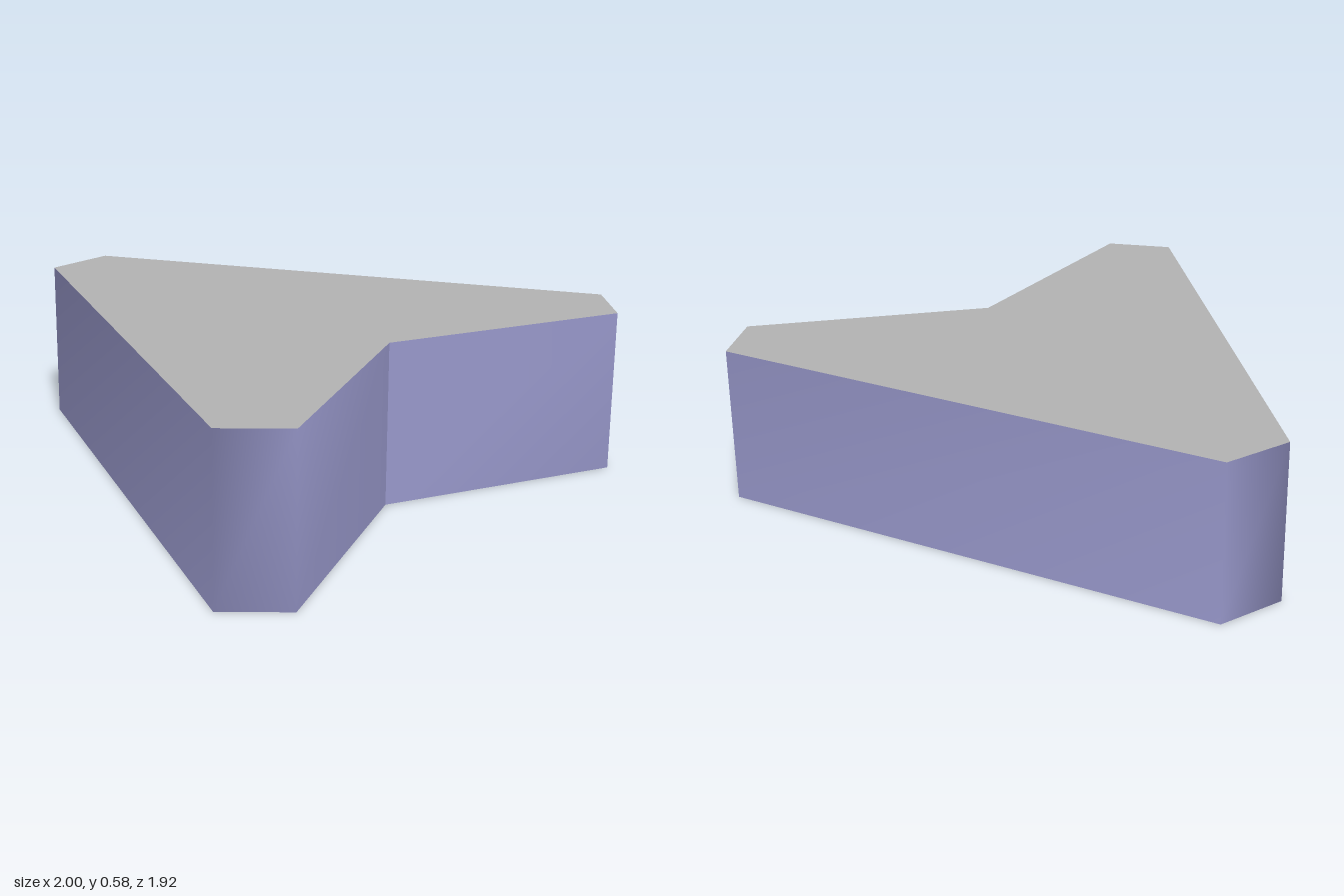
import * as THREE from 'three';

const HEIGHT = 0.58;

// Arrowhead outline as [x, z], counter-clockwise from above, starting at the notch
const half = [[0, 0.61], [0.83, 0.96], [1, 0.78], [0.13, -0.96]];
const mirrored = half.slice(1).reverse().map(([x, z]) => [-x, z]);
const outline = [...half, ...mirrored];

// Smoothly shaded wall; the notch is a seam, so its edge stays sharp
function wallGeometry() {
  const positions = [];
  const indices = [];
  const loop = [...outline, outline[0]];
  loop.forEach(([x, z], i) => {
    positions.push(x, 0, z, x, HEIGHT, z);
    if (i === loop.length - 1) return;
    const a = i * 2;
    indices.push(a, a + 2, a + 3, a, a + 3, a + 1);
  });
  const geometry = new THREE.BufferGeometry();
  geometry.setAttribute('position', new THREE.Float32BufferAttribute(positions, 3));
  geometry.setIndex(indices);
  geometry.computeVertexNormals();
  return geometry;
}

export function createModel() {
  const model = new THREE.Group();
  model.name = 'arrowheadBlock';

  const grey = new THREE.MeshStandardMaterial({ color: 0xb3b3b3 });
  grey.name = 'grey';
  const lavender = new THREE.MeshStandardMaterial({ color: 0x9999cc });
  lavender.name = 'lavender';

  function add(name, geometry, material) {
    const mesh = new THREE.Mesh(geometry, material);
    mesh.name = name;
    model.add(mesh);
    return mesh;
  }

  add('sideWall', wallGeometry(), lavender);

  // Flat caps facing up and down
  const shape = new THREE.Shape(outline.map(([x, z]) => new THREE.Vector2(x, -z)));
  const top = new THREE.ShapeGeometry(shape).rotateX(-Math.PI / 2).translate(0, HEIGHT, 0);
  add('topFace', top, grey);

  const flipped = new THREE.Shape(outline.map(([x, z]) => new THREE.Vector2(x, z)));
  add('bottomFace', new THREE.ShapeGeometry(flipped).rotateX(Math.PI / 2), grey);

  return model;
}
